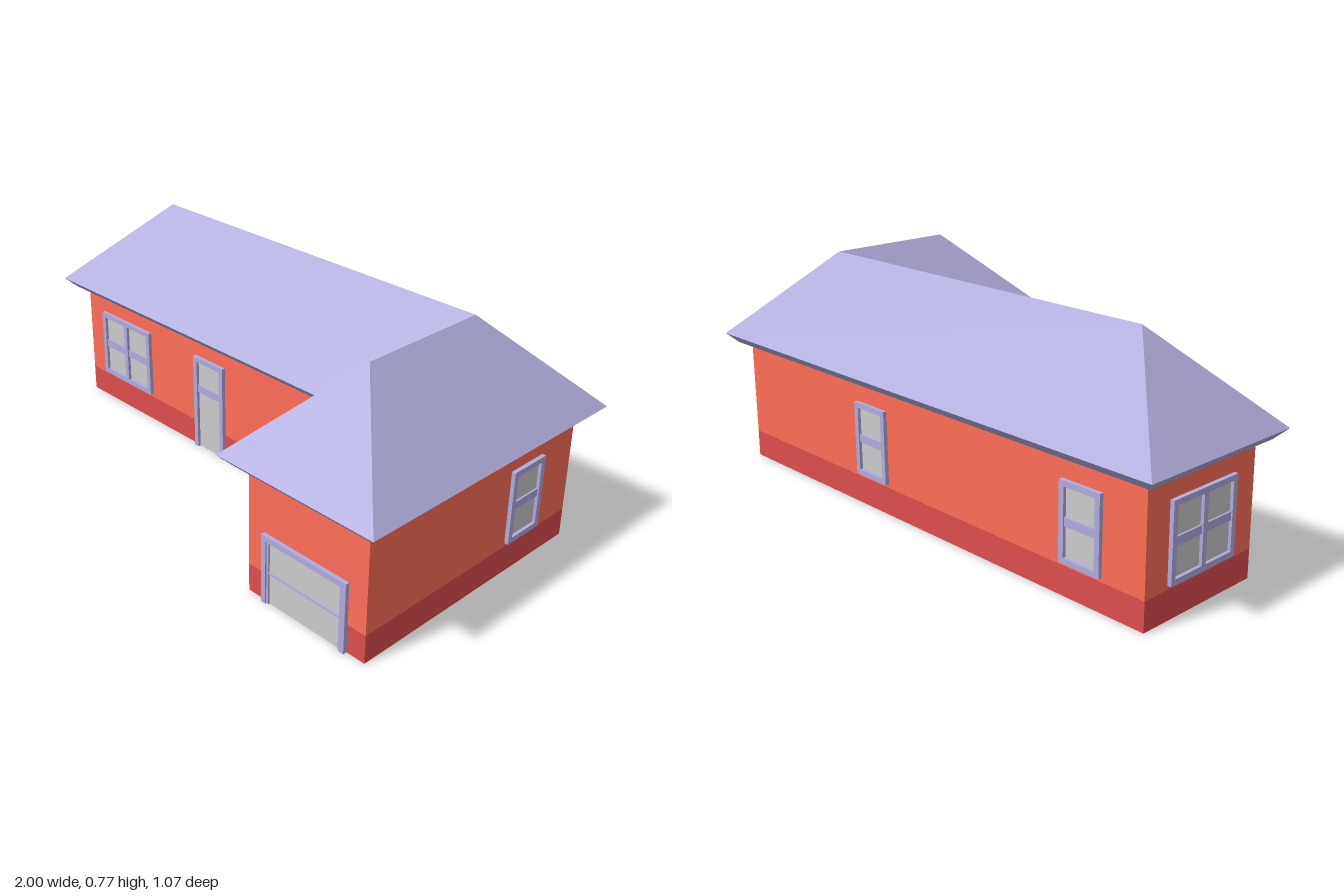
import * as THREE from 'three';

const paint = (color) => new THREE.MeshStandardMaterial({ color, flatShading: true });
const red = paint(0xff6e57);
const darkRed = paint(0xde4e4e);
const lilac = paint(0xb0acdc);
const grey = paint(0xcccccc);

const U = 1 / 15; // building unit
const EAVE = 7 * U, SOFFIT = 6.5 * U, RIDGE = 11.5 * U;

// L-shaped plan [x, z], shrunk from the eave line by an inset
const plan = (i) => [
  [-1 + i, U - i], [0.4 + i, U - i], [0.4 + i, 8 * U - i],
  [1 - i, 8 * U - i], [1 - i, -8 * U + i], [-1 + i, -8 * U + i],
];
const planShape = (i) => new THREE.Shape(plan(i).map(([x, z]) => new THREE.Vector2(x, z)));

function add(parent, name, geometry, material, x = 0, y = 0, z = 0) {
  const mesh = new THREE.Mesh(geometry, material);
  mesh.name = name;
  mesh.position.set(x, y, z);
  parent.add(mesh);
  return mesh;
}

// Flat convex polygons to one geometry
function polygons(faces) {
  const pos = [];
  for (const f of faces)
    for (let i = 1; i < f.length - 1; i++) pos.push(...f[0], ...f[i], ...f[i + 1]);
  const g = new THREE.BufferGeometry();
  g.setAttribute('position', new THREE.Float32BufferAttribute(pos, 3));
  g.computeVertexNormals();
  return g;
}

// Upright storey of the L plan between two heights
function storey(bottom, top) {
  const g = new THREE.ExtrudeGeometry(planShape(U), { depth: top - bottom, bevelEnabled: false });
  return g.rotateX(Math.PI / 2).translate(0, top, 0);
}

function makeRoof() {
  const roof = new THREE.Group();
  roof.name = 'roof';
  const top = plan(0).map(([x, z]) => [x, EAVE, z]);
  const low = plan(0.5 * U).map(([x, z]) => [x, SOFFIT, z]);
  const [a, b, c, d, e, f] = top;
  const z = 3.5 * U;
  const west = [-0.7, RIDGE, -z], corner = [0.7, RIDGE, -z], south = [0.7, RIDGE, z];
  add(roof, 'roofSlopes', polygons([
    [a, b, corner, west], [b, c, south, corner], [c, d, south],
    [d, e, corner, south], [e, f, west, corner], [f, a, west],
  ]), lilac);
  add(roof, 'eaves', polygons(top.map((p, i) => {
    const j = (i + 1) % top.length;
    return [low[i], low[j], top[j], p];
  })), lilac);
  add(roof, 'soffit', new THREE.ShapeGeometry(planShape(0.5 * U)).rotateX(Math.PI / 2), lilac, 0, SOFFIT, 0);
  return roof;
}

const rectPath = (Type, x0, y0, x1, y1) => new Type([
  new THREE.Vector2(x0, y0), new THREE.Vector2(x1, y0),
  new THREE.Vector2(x1, y1), new THREE.Vector2(x0, y1),
]);
const DEPTH = 0.0135, RIM = 0.018;
const extrude = (shape, depth = DEPTH) =>
  new THREE.ExtrudeGeometry(shape, { depth, bevelEnabled: false, curveSegments: 24 });

// Framed opening on a wall plane; bars are heights of crossbars
function makeOpening(name, w, y0, y1, { panes = 1, sill = true, bars = [0.235], bar = 0.027 } = {}) {
  const group = new THREE.Group();
  group.name = name;
  const h = w / 2;
  const bottom = sill ? y0 + RIM : y0;
  let frame;
  if (sill) {
    frame = rectPath(THREE.Shape, -h, y0, h, y1);
    const step = (w - RIM) / panes;
    for (let i = 0; i < panes; i++) {
      const x = -h + i * step;
      frame.holes.push(rectPath(THREE.Path, x + RIM, bottom, x + step, y1 - RIM));
    }
  } else {
    frame = new THREE.Shape([
      [-h, y0], [-h + RIM, y0], [-h + RIM, y1 - RIM], [h - RIM, y1 - RIM],
      [h - RIM, y0], [h, y0], [h, y1], [-h, y1],
    ].map(([x, y]) => new THREE.Vector2(x, y)));
  }
  add(group, 'frame', extrude(frame), lilac);
  add(group, 'panel', new THREE.BoxGeometry(w - 2 * RIM, y1 - RIM - bottom, 0.004),
    grey, 0, (y1 - RIM + bottom) / 2, 0.001);
  for (const y of bars)
    add(group, 'crossbar', new THREE.BoxGeometry(w - 2 * RIM, bar, 0.009), lilac, 0, y, 0.0045);
  return group;
}

function makeRoundWindow(r) {
  const group = new THREE.Group();
  group.name = 'roundWindow';
  const ring = new THREE.Shape().absarc(0, 0, r, 0, Math.PI * 2);
  ring.holes.push(new THREE.Path().absarc(0, 0, r - RIM, 0, Math.PI * 2, true));
  add(group, 'frame', extrude(ring), lilac);
  add(group, 'panel', new THREE.CircleGeometry(r - RIM, 48), grey, 0, 0, 0.003);
  const length = 2 * (r - RIM) + 0.005;
  add(group, 'crossbar', new THREE.BoxGeometry(length, 0.025, 0.009), lilac, 0, 0, 0.0045);
  add(group, 'upright', new THREE.BoxGeometry(0.025, length, 0.008), lilac, 0, 0, 0.004);
  return group;
}

export function createModel() {
  const house = new THREE.Group();
  house.name = 'house';

  // Walls with a darker plinth
  add(house, 'plinth', storey(0, 0.095), darkRed);
  add(house, 'walls', storey(0.095, SOFFIT), red);
  house.add(makeRoof());

  const place = (part, x, z, turn = 0, y = 0) => {
    part.position.set(x, y, z);
    part.rotation.y = turn;
    house.add(part);
  };
  const single = (name) => makeOpening(name, 0.153, 0.108, 0.36);
  const double = (name) => makeOpening(name, 0.28, 0.108, 0.36, { panes: 2 });
  const X = 14 * U, Z = 7 * U, mid = -3.5 * U;

  // Front
  place(double('frontWindow'), -0.703, 0);
  place(makeOpening('frontDoor', 0.153, 0, 0.36, { sill: false }), -0.235, 0);
  place(makeRoundWindow(0.1), 0.232, 0, 0, 0.235);
  const garage = makeOpening('garageDoor', 0.334, 0, 0.238, { sill: false, bars: [0.111, 0.217], bar: 0.005 });
  for (const s of [-1, 1])
    add(garage, 'sideTrim', new THREE.BoxGeometry(0.008, 0.22, 0.009), lilac, s * 0.145, 0.11, 0.0045);
  place(garage, 0.699, Z);

  // Sides and back
  place(single('rightWallWindow'), X, mid, Math.PI / 2);
  place(double('leftWallWindow'), -X, mid, -Math.PI / 2);
  for (const x of [-0.703, 0.232]) place(single('backWindow'), x, -Z, Math.PI);

  return house;
}
